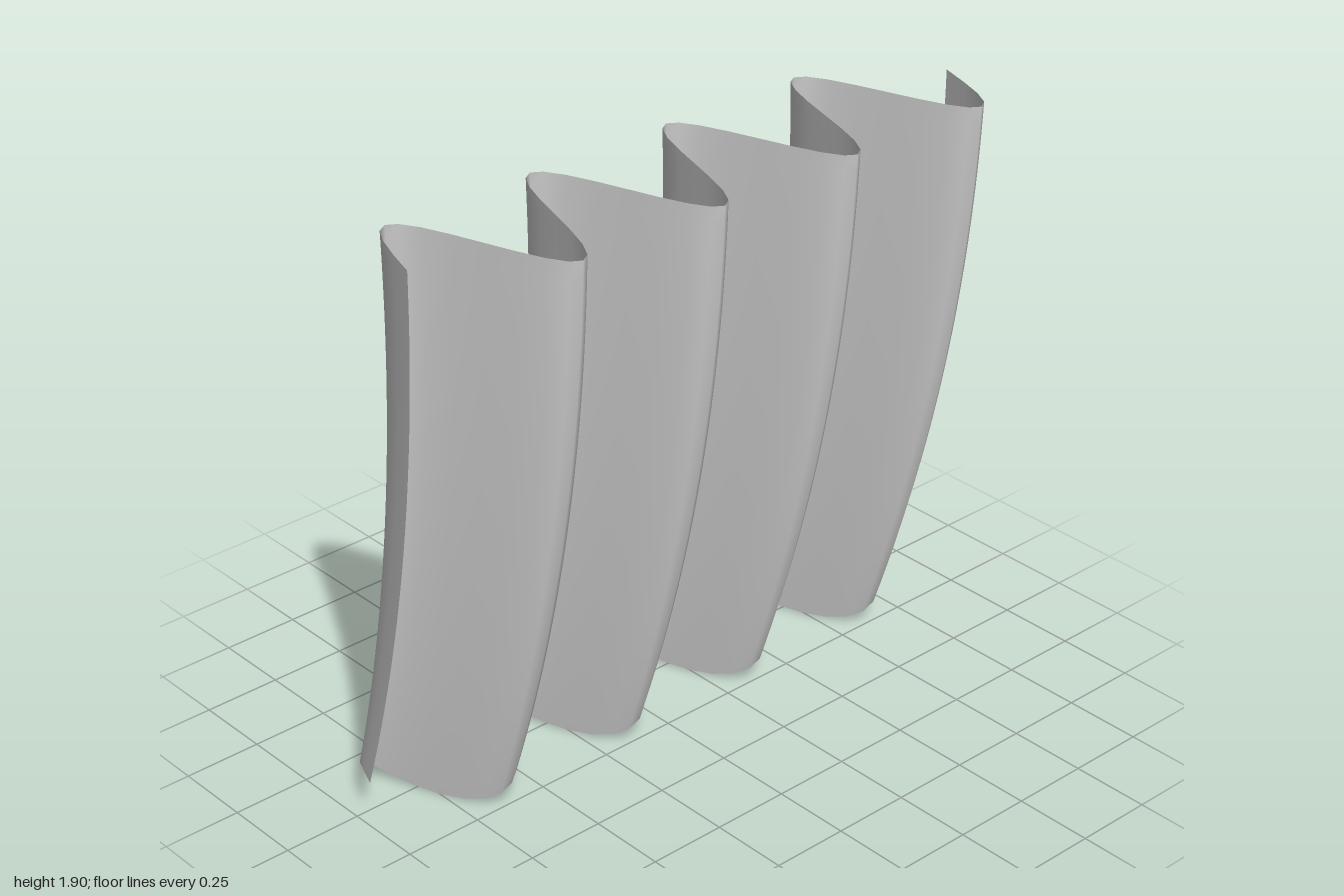
import * as THREE from 'three';

const TOP = 1.905, HEM = 0.078, FOLDS = 4;

export function createModel() {
  const group = new THREE.Group();
  group.name = 'curtain';

  // Pleated cloth: a flat sheet moved into sine folds that billow with the drop
  const geometry = new THREE.PlaneGeometry(2, 1, 64, 40);
  const pos = geometry.attributes.position;
  for (let i = 0; i < pos.count; i++) {
    const x = pos.getX(i);
    const t = 0.5 - pos.getY(i); // 0 at the top edge, 1 at the hem
    const phase = x * FOLDS * Math.PI;
    const depth = 0.257 - 0.07 * t; // folds get shallower downwards
    const sway = 0.109 - 0.286 * t * t; // cloth swings backwards
    const y = TOP - t * (TOP - HEM) + HEM * t * Math.cos(phase); // scalloped hem
    pos.setXYZ(i, x, y, sway - depth * Math.sin(phase));
  }
  geometry.computeVertexNormals();

  const cloth = new THREE.Mesh(
    geometry,
    new THREE.MeshStandardMaterial({ color: 0xcccccc, side: THREE.DoubleSide })
  );
  cloth.name = 'pleatedCloth';
  group.add(cloth);
  return group;
}
